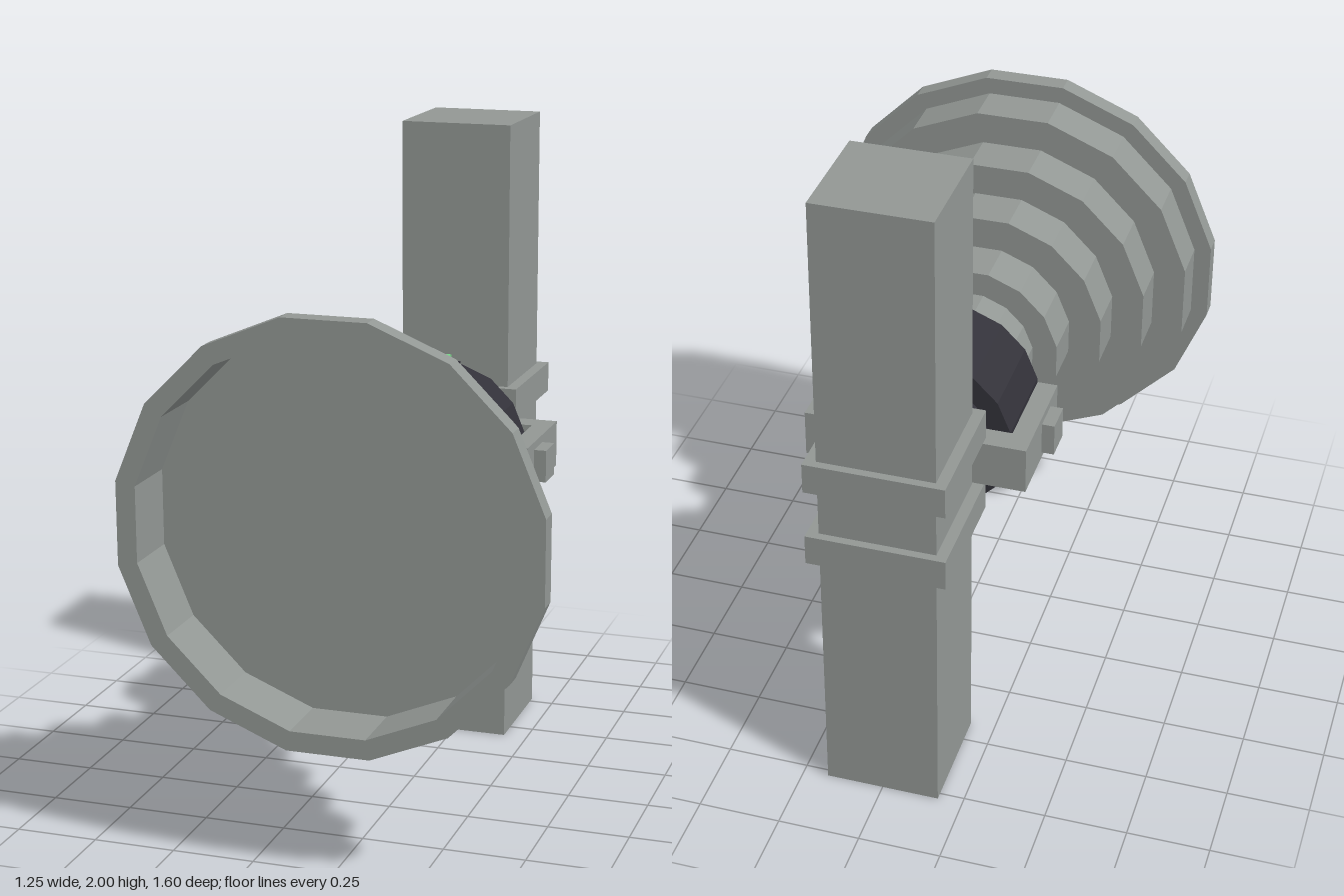
import * as THREE from 'three';

const SIDES = 16;
const AXIS_Y = 1.003; // height of the horn axis

export function createModel() {
  const mat = (name, color) => {
    const m = new THREE.MeshStandardMaterial({ color, flatShading: true });
    m.name = name;
    return m;
  };
  const grey = mat('grey metal', 0x929794);
  const dark = mat('dark housing', 0x323139);
  const green = mat('green light', 0x78d488);

  const model = new THREE.Group();
  model.name = 'postMountedHorn';

  const add = (name, geometry, material) => {
    const mesh = new THREE.Mesh(geometry, material);
    mesh.name = name;
    model.add(mesh);
    return mesh;
  };
  // box given by its [min, max] range on each axis
  const box = (name, material, [x0, x1], [y0, y1], [z0, z1]) =>
    add(name, new THREE.BoxGeometry(x1 - x0, y1 - y0, z1 - z0), material)
      .position.set((x0 + x1) / 2, (y0 + y1) / 2, (z0 + z1) / 2);
  // corner radius of a flat-topped polygon from its half height
  const corner = (half) => half / Math.cos(Math.PI / SIDES);
  // sixteen-sided drum lying along z
  const drum = (name, material, half, z0, z1) => {
    const r = corner(half);
    const g = new THREE.CylinderGeometry(r, r, z1 - z0, SIDES, 1, false, Math.PI / SIDES);
    g.rotateX(Math.PI / 2);
    add(name, g, material).position.set(0, AXIS_Y, (z0 + z1) / 2);
  };
  const polygon = (half) => Array.from({ length: SIDES }, (_, i) => {
    const a = (i + 0.5) * 2 * Math.PI / SIDES;
    return new THREE.Vector2(Math.cos(a), Math.sin(a)).multiplyScalar(corner(half));
  });
  // sixteen-sided open ring lying along z
  const ring = (name, material, outer, inner, z0, z1) => {
    const shape = new THREE.Shape(polygon(outer));
    shape.holes.push(new THREE.Path(polygon(inner)));
    add(name, new THREE.ExtrudeGeometry(shape, { depth: z1 - z0, bevelEnabled: false }), material)
      .position.set(0, AXIS_Y, z0);
  };

  // Post and its two clamps
  box('post', grey, [-0.174, 0.174], [0, 2], [-0.773, -0.423]);
  for (const [name, y] of [['lowerClamp', 0.83], ['upperClamp', 1.08]])
    box(name, grey, [-0.208, 0.208], [y, y + 0.095], [-0.798, -0.398]);

  // Stepped horn, narrow to wide
  drum('hornNeck', grey, 0.197, -0.05, 0.15);
  [[0.273, 0.15, 0.3], [0.373, 0.3, 0.45], [0.472, 0.45, 0.6]]
    .forEach(([half, z0, z1], i) => drum('hornStep' + (i + 1), grey, half, z0, z1));

  // Hollow mouth: floor, thin wall and raised rim
  drum('mouthFloor', grey, 0.571, 0.598, 0.606);
  ring('mouthWall', grey, 0.571, 0.565, 0.606, 0.738);
  ring('hornRim', grey, 0.624, 0.565, 0.738, 0.798);

  // Dark driver housing with its back cap
  drum('housing', dark, 0.26, -0.322, -0.025);
  drum('housingCap', dark, 0.197, -0.375, -0.322);

  // Light on top and knob below
  box('lightBase', dark, [-0.06, 0.06], [1.25, 1.281], [-0.285, -0.165]);
  box('light', green, [-0.037, 0.037], [1.281, 1.306], [-0.262, -0.188]);
  box('bottomKnob', grey, [-0.06, 0.06], [0.68, 0.75], [-0.273, -0.15]);

  // Yoke holding the housing
  box('yokeBack', grey, [-0.335, 0.335], [0.932, 1.076], [-0.425, -0.35]);
  for (const [side, s] of [['left', 1], ['right', -1]]) {
    const span = (a, b) => (s > 0 ? [a, b] : [-b, -a]);
    box(side + 'YokeArm', grey, span(0.274, 0.335), [0.932, 1.076], [-0.35, -0.075]);
    box(side + 'Pivot', grey, span(0.335, 0.373), [0.952, 1.052], [-0.25, -0.152]);
  }
  return model;
}
